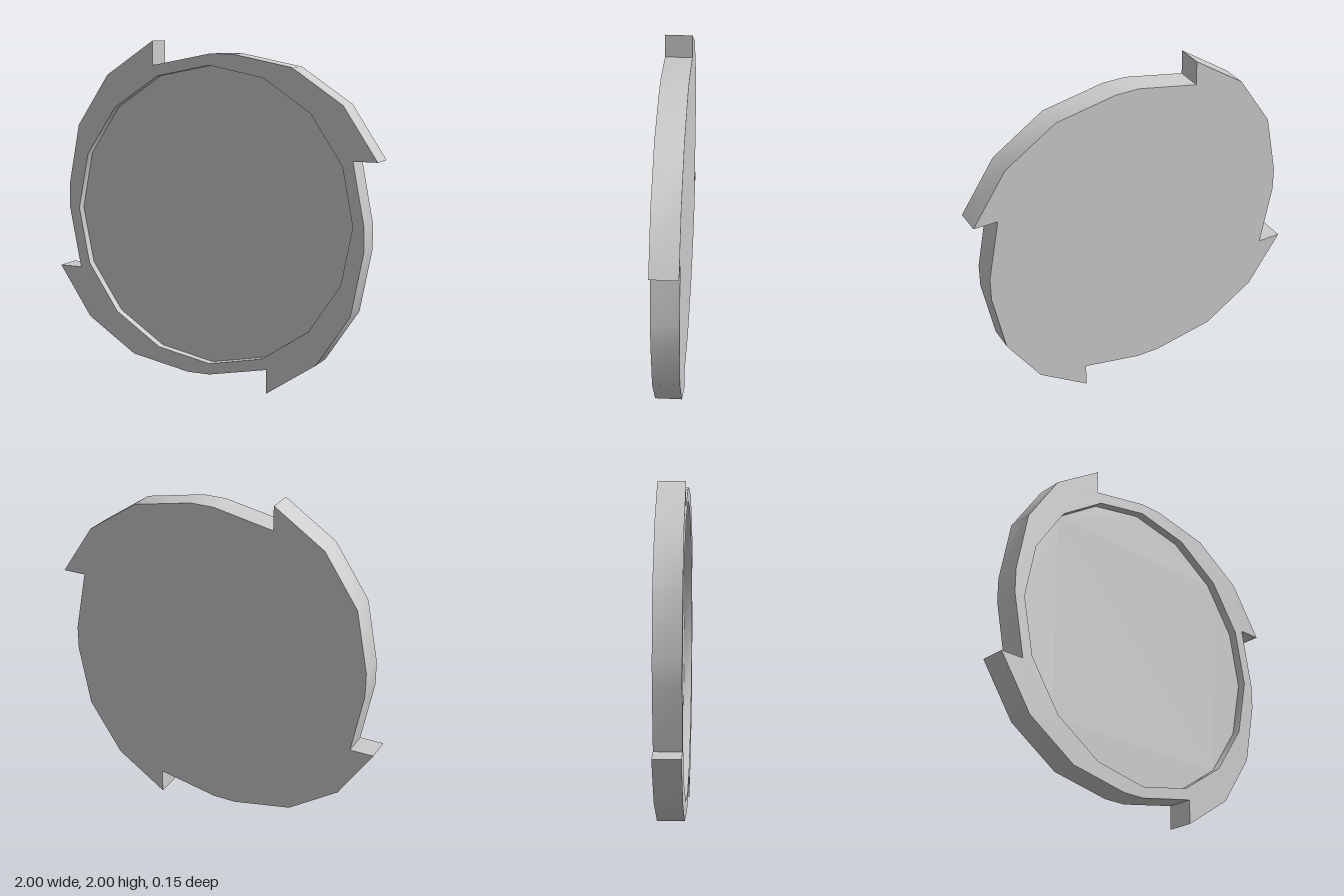
import * as THREE from 'three';
import { mergeGeometries, toCreasedNormals } from 'three/addons/utils/BufferGeometryUtils.js';

const HALF = 0.077; // half thickness
const FLOOR = 0.027; // z of the recessed front face

// One quarter of the toothed outline, clockwise from a tooth tip
const quarter = [[-0.36, 1], [-0.36, 0.86], [0, 0.93], [0.14, 0.93], [0.5, 0.86], [0.8, 0.66]];

function toothedOutline() {
  const points = [];
  for (let i = 0; i < 4; i++) {
    for (const [x, y] of quarter) {
      points.push(new THREE.Vector2(x, y).rotateAround(new THREE.Vector2(), -i * Math.PI / 2));
    }
  }
  return points;
}

// Sixteen-sided recess, counterclockwise
function recessOutline() {
  return Array.from({ length: 16 }, (_, i) => {
    const a = i * Math.PI / 8;
    return new THREE.Vector2(0.865 * Math.cos(a), 0.865 * Math.sin(a));
  });
}

// Flat face at depth z, turned to the front or the back
function face(outline, z, hole, back) {
  const shape = new THREE.Shape(outline);
  if (hole) shape.holes.push(new THREE.Path(hole));
  const flat = new THREE.ShapeGeometry(shape).toNonIndexed();
  flat.deleteAttribute('uv');
  if (back) {
    const p = flat.attributes.position;
    for (let i = 0; i < p.count; i += 3) {
      const [x, y] = [p.getX(i), p.getY(i)];
      p.setXY(i, p.getX(i + 1), p.getY(i + 1));
      p.setXY(i + 1, x, y);
    }
  }
  flat.translate(0, 0, z);
  flat.computeVertexNormals();
  return flat;
}

// Wall along a closed outline, facing to the left of its direction
function wall(outline, z0, z1) {
  const v = [];
  outline.forEach((a, i) => {
    const b = outline[(i + 1) % outline.length];
    v.push(a.x, a.y, z0, a.x, a.y, z1, b.x, b.y, z1);
    v.push(a.x, a.y, z0, b.x, b.y, z1, b.x, b.y, z0);
  });
  const g = new THREE.BufferGeometry();
  g.setAttribute('position', new THREE.Float32BufferAttribute(v, 3));
  g.computeVertexNormals();
  return g;
}

export function createModel() {
  const group = new THREE.Group();
  group.name = 'toothedDisc';
  const material = new THREE.MeshStandardMaterial({ color: 0xcccccc });
  const add = (name, parts) => {
    const mesh = new THREE.Mesh(toCreasedNormals(mergeGeometries(parts), 0.6), material);
    mesh.name = name;
    mesh.position.y = 1;
    group.add(mesh);
  };
  const outer = toothedOutline();
  const inner = recessOutline();

  // Toothed body: raised front rim, outer wall and flat back
  add('toothedBody', [
    face(outer, HALF, inner),
    wall(outer, -HALF, HALF),
    face(outer, -HALF, null, true),
  ]);

  // Shallow recess in the front
  add('frontRecess', [wall(inner, FLOOR, HALF), face(inner, FLOOR)]);

  return group;
}
